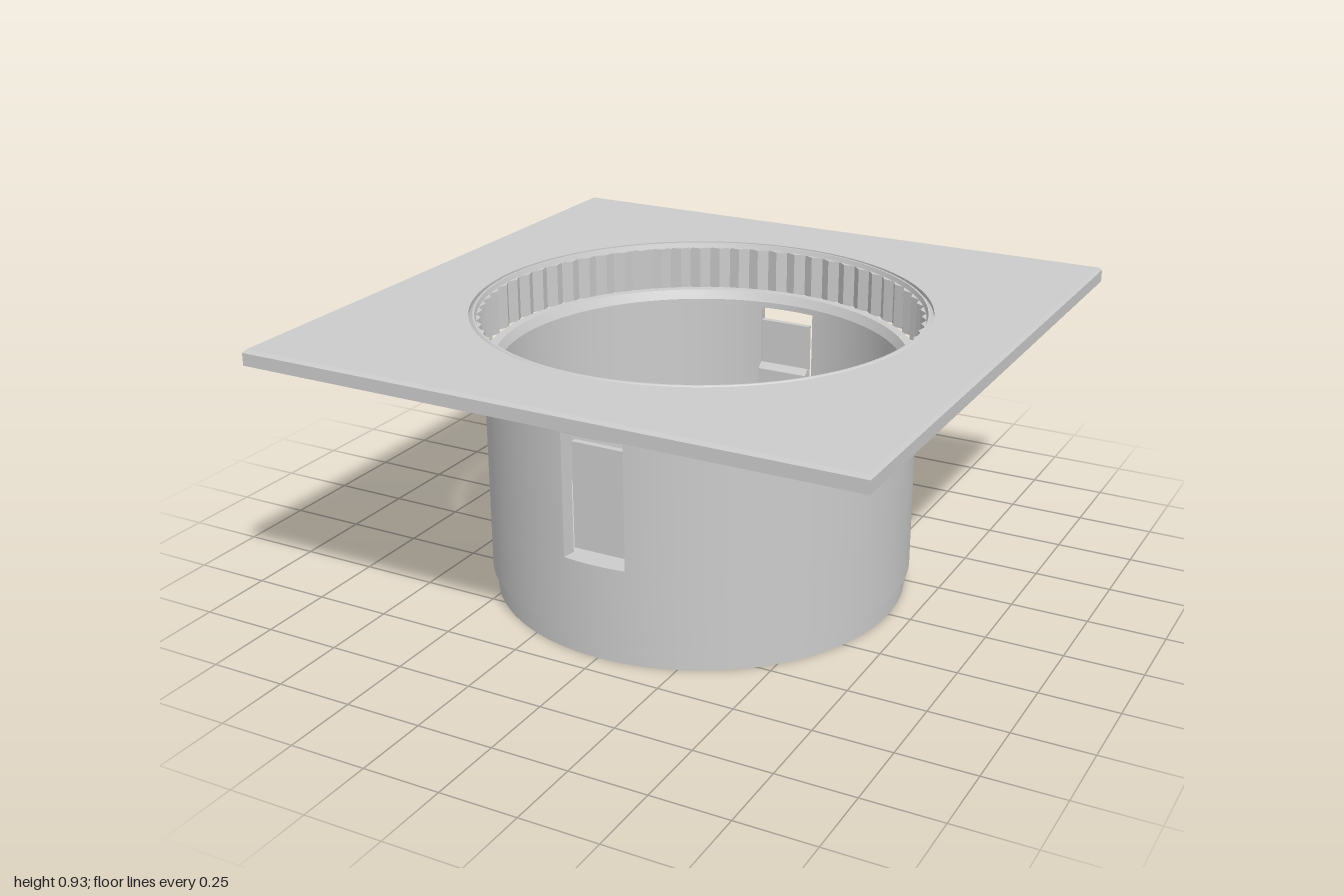
import * as THREE from 'three';
import { toCreasedNormals } from 'three/addons/utils/BufferGeometryUtils.js';

const SEG = 96;
const material = new THREE.MeshStandardMaterial({ color: 0xcccccc });

function part(name, geometry) {
  const mesh = new THREE.Mesh(geometry, material);
  mesh.name = name;
  return mesh;
}

// Revolve [radius, height] pairs, keeping the profile corners sharp
function turned(name, profile, segments = SEG) {
  const points = profile.map(([r, y]) => new THREE.Vector2(r, y));
  return part(name, toCreasedNormals(new THREE.LatheGeometry(points, segments), 0.4));
}

// Extrude a plan shape upwards between two heights
function slab(name, shape, y0, y1, smooth = true) {
  let geo = new THREE.ExtrudeGeometry(shape, { depth: y1 - y0, bevelEnabled: false, curveSegments: SEG });
  geo.rotateX(-Math.PI / 2).translate(0, y0, 0);
  if (smooth) geo = toCreasedNormals(geo, 0.4);
  return part(name, geo);
}

function circle(r, x = 0, Kind = THREE.Path) {
  return new Kind().absarc(x, 0, r, 0, Math.PI * 2, false);
}

function squareWithHole(half, r) {
  const s = new THREE.Shape([[-1, -1], [1, -1], [1, 1], [-1, 1]]
    .map(([x, y]) => new THREE.Vector2(x * half, y * half)));
  s.holes.push(circle(r));
  return s;
}

export function createModel() {
  const model = new THREE.Group();
  model.name = 'wallSocket';

  // Square cover plate with a chamfered top edge
  const plate = new THREE.Group();
  plate.name = 'coverPlate';
  plate.add(slab('plateBody', squareWithHole(1, 0.73), 0.88, 0.92));
  plate.add(slab('plateTop', squareWithHole(0.99, 0.73), 0.92, 0.93));
  const chamfer = new THREE.CylinderGeometry(0.99 * Math.SQRT2, Math.SQRT2, 0.01, 4, 1, true)
    .rotateY(Math.PI / 4).translate(0, 0.925, 0);
  plate.add(part('plateChamfer', toCreasedNormals(chamfer, 0.4)));
  model.add(plate);

  // Collar under the plate, serrated on the inside
  const collar = circle(0.73, 0, THREE.Shape);
  const teeth = 64;
  const zigzag = [];
  for (let i = 0; i < teeth * 2; i++) {
    const a = (i / (teeth * 2)) * Math.PI * 2;
    const r = i % 2 ? 0.708 : 0.692;
    zigzag.push(new THREE.Vector2(Math.cos(a) * r, Math.sin(a) * r));
  }
  collar.holes.push(new THREE.Path(zigzag));
  model.add(slab('serratedCollar', collar, 0.77, 0.915, false));
  model.add(turned('collarLip', [[0.73, 0.91], [0.73, 0.918], [0.718, 0.93], [0.712, 0.93], [0.706, 0.912]]));

  // Cup: stepped base, two wall arcs leaving a window front and back, top ring
  const outer = 0.69, inner = 0.645, sill = 0.32, head = 0.725;
  const cup = new THREE.Group();
  cup.name = 'cup';
  cup.add(turned('cupBase', [[0, 0], [0.675, 0], [0.675, 0.075], [outer, 0.075],
    [outer, sill], [inner, sill], [inner, 0.13]]));
  cup.add(turned('cupRim', [[inner, head], [outer, head], [outer, 0.775],
    [0.66, 0.775], [inner, 0.745], [inner, head]]));
  const gap = Math.asin(0.105 / outer);
  for (const side of [0, Math.PI]) {
    const a0 = side - Math.PI / 2 + gap, a1 = side + Math.PI / 2 - gap;
    const arc = new THREE.Shape();
    arc.absarc(0, 0, outer, a0, a1, false);
    arc.absarc(0, 0, inner, a1, a0, true);
    cup.add(slab(side ? 'rightWall' : 'leftWall', arc, sill, head));
  }
  model.add(cup);

  // Floor with two recessed pin holes
  const floor = circle(inner, 0, THREE.Shape);
  for (const x of [-0.345, 0.345]) {
    floor.holes.push(circle(0.1, x));
    const hole = turned('pinHole', [[0.1, 0.13], [0.092, 0.115], [0.075, 0.115], [0.075, 0.03], [0, 0.03]], SEG);
    hole.position.x = x;
    model.add(hole);
  }
  model.add(part('floor', new THREE.ShapeGeometry(floor, SEG).rotateX(-Math.PI / 2).translate(0, 0.13, 0)));

  // Earth contacts in the windows: thin above, thicker towards the inside below
  const contact = new THREE.Shape([[0.645, 0.34], [0.645, 0.685], [0.625, 0.685],
    [0.625, 0.53], [0.605, 0.51], [0.605, 0.34]].map(([z, y]) => new THREE.Vector2(z, y)));
  for (const turn of [0, Math.PI]) {
    const geo = new THREE.ExtrudeGeometry(contact, { depth: 0.18, bevelEnabled: false })
      .translate(0, 0, -0.09).rotateY(-Math.PI / 2 + turn);
    model.add(part(turn ? 'backContact' : 'frontContact', geo));
  }
  return model;
}
